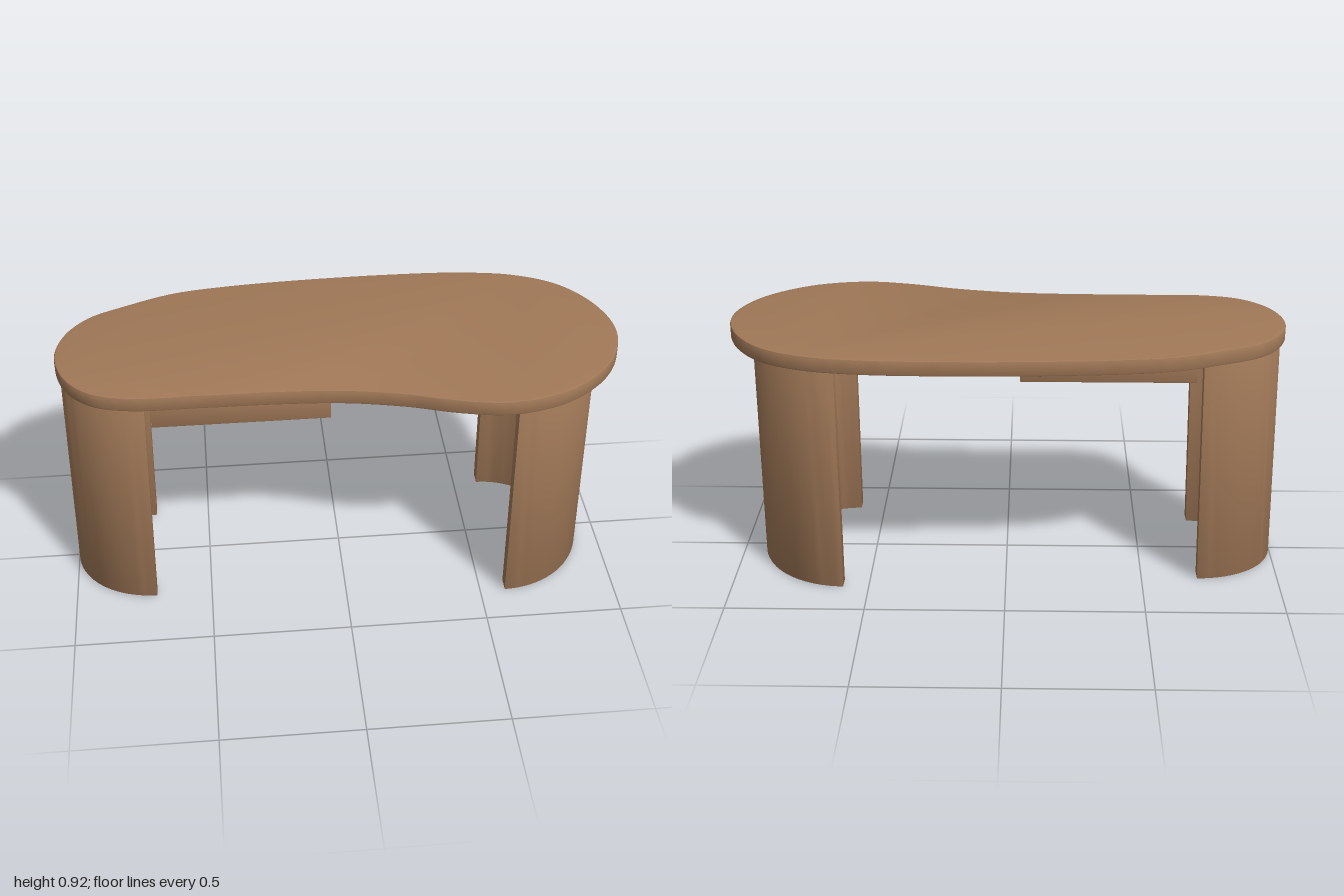
import * as THREE from 'three';
import { toCreasedNormals } from 'three/addons/utils/BufferGeometryUtils.js';

const TOP_Y = 0.92, UNDER_Y = 0.865;

// Extrudes a plan shape (drawn with y = -z) upward between two heights, with softened edges.
function slab(shape, y0, y1, bevel, curveSegments) {
  const geo = new THREE.ExtrudeGeometry(shape, {
    depth: y1 - y0 - 2 * bevel, curveSegments,
    bevelEnabled: true, bevelThickness: bevel, bevelSize: bevel, bevelOffset: -bevel, bevelSegments: 2,
  });
  geo.rotateX(-Math.PI / 2);
  geo.translate(0, y0 + bevel, 0);
  return geo;
}

// Half-ring plan of a curved leg, bulging towards side (+1 or -1).
function halfRing(rx, rz, wall, side) {
  const pts = [], n = 40;
  const arc = (a, b, from, to) => {
    for (let i = 0; i <= n; i++) {
      const t = from + (to - from) * i / n;
      pts.push(new THREE.Vector2(side * a * Math.cos(t), b * Math.sin(t)));
    }
  };
  arc(rx, rz, -Math.PI / 2, Math.PI / 2);
  arc(rx - wall, rz - wall, Math.PI / 2, -Math.PI / 2);
  return new THREE.Shape(pts);
}

export function createModel() {
  const group = new THREE.Group();
  const wood = new THREE.MeshStandardMaterial({ color: 0xa07857 });
  wood.name = 'warm wood';

  const add = (name, geo) => {
    const mesh = new THREE.Mesh(toCreasedNormals(geo, 0.5), wood);
    mesh.name = name;
    group.add(mesh);
    return mesh;
  };

  // Kidney-shaped top, outline as x, z
  const outline = [
    [1, 0], [0.955, -0.17], [0.85, -0.31], [0.7, -0.39], [0.5, -0.427], [0.25, -0.437],
    [-0.1, -0.43], [-0.4, -0.408], [-0.58, -0.378], [-0.75, -0.31], [-0.89, -0.235], [-0.97, -0.13],
    [-1, 0], [-0.96, 0.15], [-0.87, 0.245], [-0.74, 0.285], [-0.5, 0.29], [-0.2, 0.295],
    [0, 0.31], [0.2, 0.35], [0.38, 0.405], [0.55, 0.43], [0.74, 0.385], [0.89, 0.275], [0.97, 0.15],
  ].map(([x, z]) => new THREE.Vector3(x, -z, 0));
  const curve = new THREE.CatmullRomCurve3(outline, true, 'centripetal');
  const rim = curve.getPoints(160).slice(0, -1).map((p) => new THREE.Vector2(p.x, p.y));
  add('tableTop', slab(new THREE.Shape(rim.reverse()), UNDER_Y, TOP_Y, 0.006, 1));

  // Wide half-round leg
  const wideLeg = slab(halfRing(0.33, 0.348, 0.048, 1), 0, UNDER_Y + 0.004, 0.006, 1);
  add('leftLeg', wideLeg.translate(0.592, 0, 0.008));

  // Narrow half-round leg, leaning in slightly towards the top
  const narrowLeg = slab(halfRing(0.295, 0.26, 0.048, -1), 0, UNDER_Y + 0.004, 0.006, 1);
  const pos = narrowLeg.attributes.position;
  for (let i = 0; i < pos.count; i++) pos.setX(i, pos.getX(i) + 0.016 * pos.getY(i));
  add('rightLeg', narrowLeg.translate(-0.704, 0, 0.005));

  // Shallow drawer under the top
  const plan = new THREE.Shape([[-0.67, -0.25], [-0.05, -0.25], [-0.05, 0.23], [-0.67, 0.23]]
    .map(([x, y]) => new THREE.Vector2(x, y)));
  add('drawer', slab(plan, 0.766, UNDER_Y + 0.004, 0.004, 1));

  return group;
}
